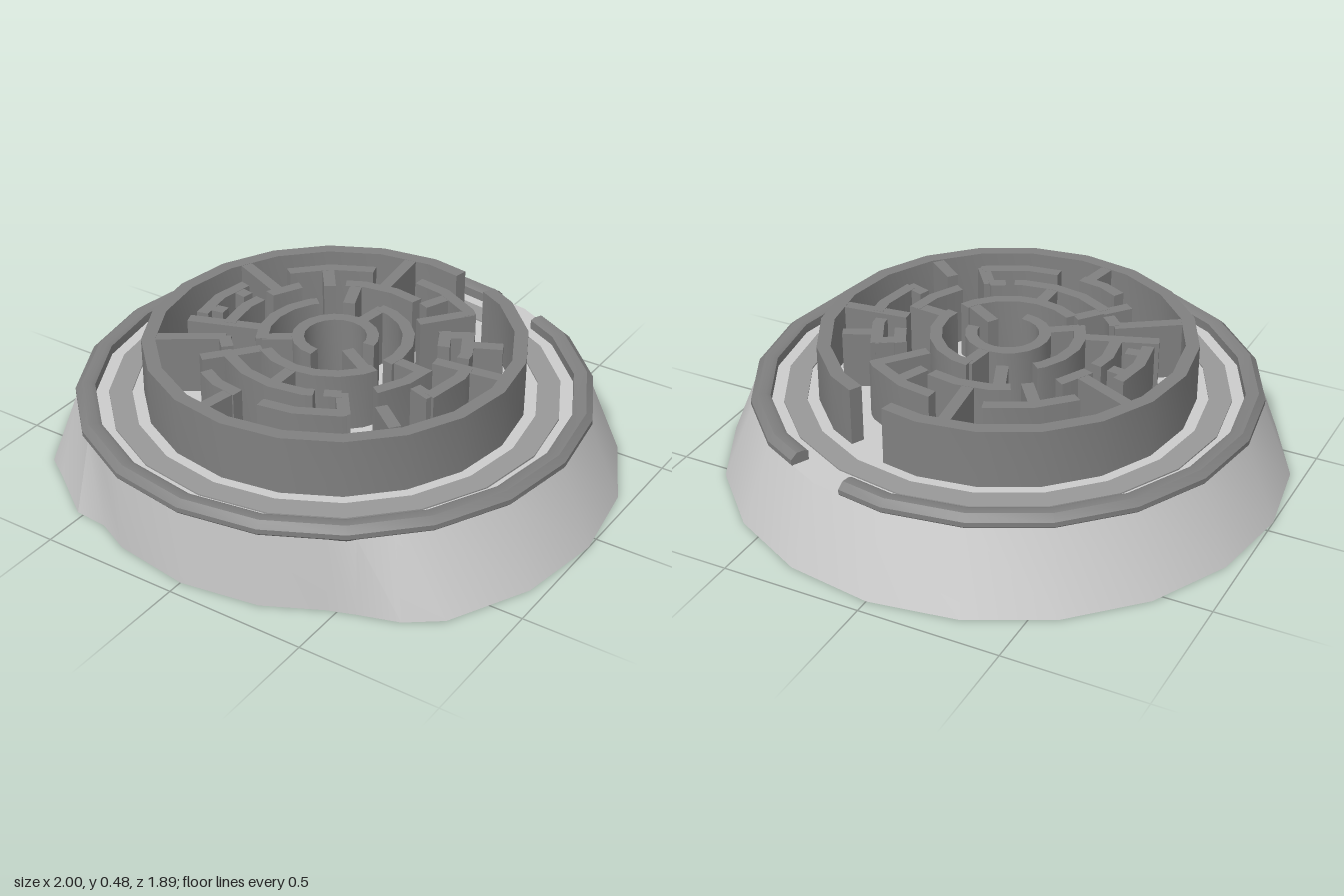
import * as THREE from 'three';
import { toCreasedNormals } from 'three/addons/utils/BufferGeometryUtils.js';

const CZ = 0.053;      // clearance keeping the plinth centred
const STEP = 18;       // twenty-sided rings
const FLOOR = 0.275;
const TOP = 0.482;
const rad = THREE.MathUtils.degToRad;

// Angles run clockwise from the back, seen from above
const place = (r, y, a) => new THREE.Vector3(r * Math.sin(rad(a)), y, -r * Math.cos(rad(a)));

// Sweep a counter-clockwise (radius, height) section round a list of angles
function sweep(section, angles, closed) {
  const pos = [];
  const tri = (a, b, c) => {
    const n = b.clone().sub(a).cross(c.clone().sub(a));
    if (n.length() > 1e-9) for (const p of [a, b, c]) pos.push(p.x, p.y, p.z);
  };
  const rings = angles.map(a => section(a).map(([r, y]) => place(r, y, a)));
  for (let i = 0; i + 1 < rings.length; i++) {
    const p = rings[i], q = rings[i + 1], n = p.length;
    for (let j = 0; j < n; j++) {
      const k = (j + 1) % n;
      tri(p[j], p[k], q[k]);
      tri(p[j], q[k], q[j]);
    }
  }
  if (!closed) {
    const s = rings[0], e = rings[rings.length - 1];
    for (let j = 1; j + 1 < s.length; j++) {
      tri(s[0], s[j + 1], s[j]);
      tri(e[0], e[j], e[j + 1]);
    }
  }
  const g = new THREE.BufferGeometry();
  g.setAttribute('position', new THREE.Float32BufferAttribute(pos, 3));
  return toCreasedNormals(g, 0.5);
}

// End angles plus every polygon corner between them
function corners(a0, a1) {
  const list = [a0];
  for (let a = (Math.floor(a0 / STEP) + 1) * STEP; a < a1 - 0.01; a += STEP) list.push(a);
  list.push(a1);
  return list;
}

// Keeps in-between angles on the straight side of the polygon
function chord(a) {
  const d = ((a % STEP) + STEP) % STEP - STEP / 2;
  return Math.cos(rad(STEP / 2)) / Math.cos(rad(d));
}

const polygonRing = (section, a0, a1) =>
  sweep(a => section.map(([r, y]) => [r * chord(a), y]), corners(a0, a1), a1 - a0 >= 360);

export function createModel() {
  const model = new THREE.Group();
  const stone = new THREE.MeshStandardMaterial({ color: 0xcccccc });
  const dark = new THREE.MeshStandardMaterial({ color: 0x808080 });
  const band = new THREE.MeshStandardMaterial({ color: 0x989898 });
  const add = (name, geometry, material, parent = model) => {
    const mesh = new THREE.Mesh(geometry, material);
    mesh.name = name;
    parent.add(mesh);
    return mesh;
  };

  // Plinth: flared foot, cut upright along the front
  const foot = [
    [0, 1], [18, 1], [36, 1], [54, 1], [72, 1], [90, 1], [108, 1], [126, 1],
    [134, 0.968], [142, 0.91], [148, 0.885], [162, 0.893], [180, 0.893], [198, 0.893],
    [207, 0.885], [214, 0.938], [228, 0.958], [234, 0.99],
    [252, 1], [270, 1], [288, 1], [306, 1], [324, 1], [342, 1], [360, 1],
  ];
  const footRadius = new Map(foot);
  add('plinth', sweep(a => {
    const top = 0.888 * chord(a);
    return [[0, 0], [footRadius.get(a), 0], [top, FLOOR], [0, FLOOR]];
  }, foot.map(f => f[0]), true), stone);

  // Bevelled rim with an entrance gap at the back
  add('rim', polygonRing([
    [0.825, 0.268], [0.885, 0.268], [0.893, 0.278], [0.893, 0.295],
    [0.87, 0.316], [0.84, 0.316], [0.825, 0.308],
  ], 26.5, 371), dark);

  // Path around the maze
  add('pathBand', polygonRing([
    [0.7, 0.27], [0.78, 0.27], [0.78, 0.28], [0.7, 0.28],
  ], 0, 360), band);

  const maze = new THREE.Group();
  maze.name = 'maze';
  model.add(maze);

  // Curved walls: centre radius, start angle, end angle
  const HALF = 0.021;
  const arcWall = (name, r, a0, a1, h = HALF) => add(name, polygonRing([
    [r - h, 0.27], [r + h, 0.27], [r + h, TOP], [r - h, TOP],
  ], a0, a1), dark, maze);

  arcWall('outerWall', 0.635, 26, 372, 0.024);
  arcWall('innerWall', 0.128, 180, 445);
  [
    // second ring
    [0.25, 5, 102], [0.25, 115, 216], [0.25, 232, 312],
    // third ring
    [0.375, -28, 16], [0.375, 52, 68], [0.375, 92, 126], [0.375, 143, 152],
    [0.375, 157, 218], [0.375, 225, 236], [0.375, 250, 281], [0.375, 288, 307],
    // fourth ring
    [0.49, 4, 40], [0.455, 54, 76], [0.49, 82, 108], [0.49, 142, 176],
    [0.49, 187, 208], [0.49, 255, 285], [0.49, 306, 343],
  ].forEach(([r, a0, a1]) => arcWall('curvedWall', r, a0, a1));

  // Straight walls: angle, inner radius, outer radius
  [
    [353, 0.37, 0.63], [338, 0.23, 0.38], [323, 0.35, 0.48], [294, 0.37, 0.63],
    [279, 0.42, 0.5], [261, 0.42, 0.5], [250, 0.25, 0.52], [236, 0.37, 0.63],
    [235, 0.13, 0.25], [218, 0.26, 0.39], [219, 0.36, 0.47], [190, 0.47, 0.63],
    [180, 0.25, 0.375], [143, 0.37, 0.5], [128, 0.47, 0.6], [122, 0.1, 0.25],
    [95, 0.25, 0.38], [83, 0.37, 0.63], [108, 0.42, 0.5], [64, 0.44, 0.57],
    [56, 0.36, 0.46], [38, 0.3, 0.5], [22, 0.37, 0.5], [7, 0.13, 0.25],
  ].forEach(([a, r0, r1]) => {
    const wall = add('straightWall', new THREE.BoxGeometry(2 * HALF, TOP - 0.27, r1 - r0), dark, maze);
    wall.position.copy(place((r0 + r1) / 2, (TOP + 0.27) / 2 - 0.001, a));
    wall.rotation.y = -rad(a);
  });

  model.children.forEach(part => { part.position.z = CZ; });
  return model;
}
